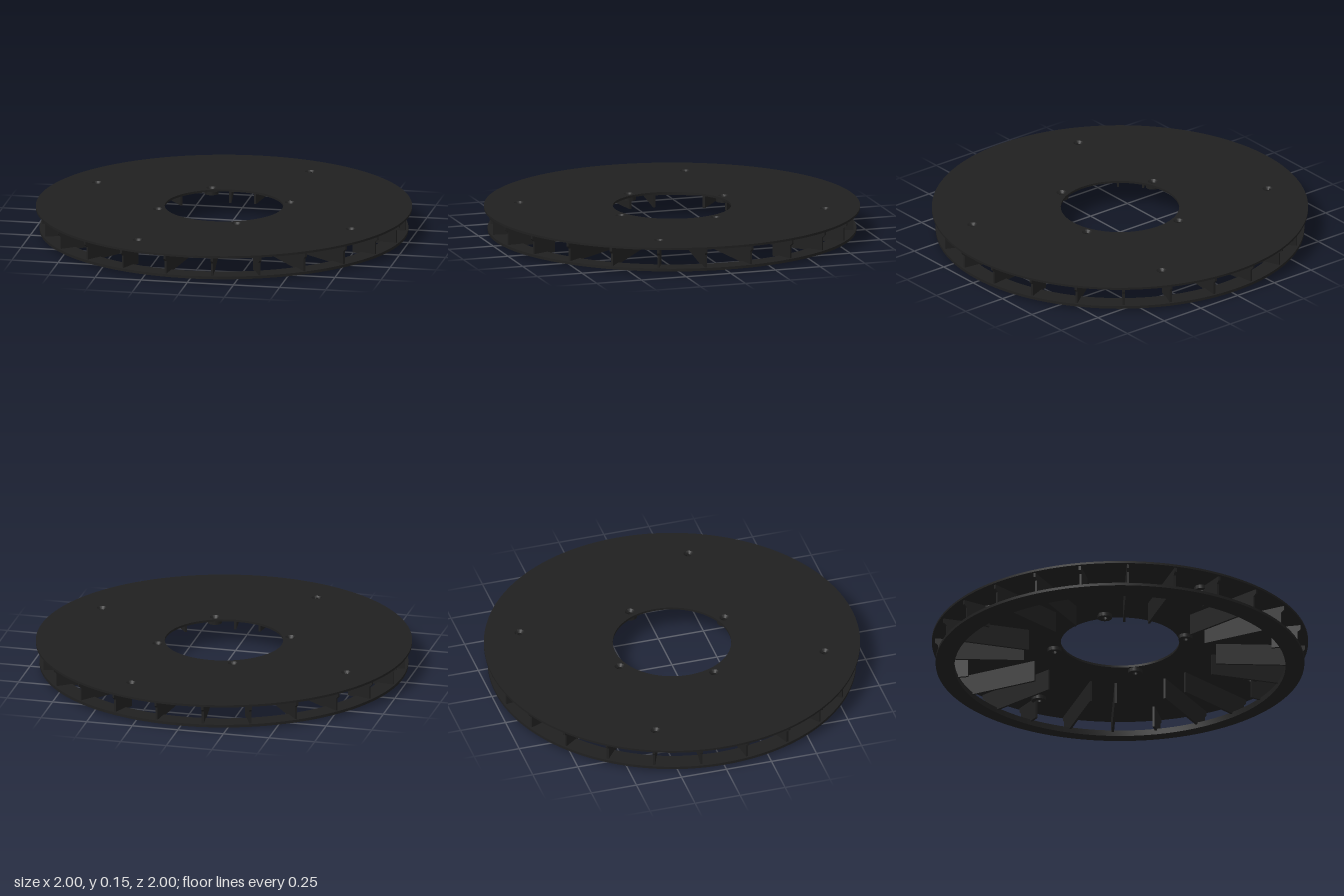
import * as THREE from 'three';
import { toCreasedNormals } from 'three/addons/utils/BufferGeometryUtils.js';

const material = new THREE.MeshStandardMaterial({ color: 0x202020 });
const TOP = 0.15, PLATE = 0.012, FIN_T = 0.012;

function add(group, name, geometry) {
  const mesh = new THREE.Mesh(geometry, material);
  mesh.name = name;
  group.add(mesh);
  return mesh;
}

// Closed counter-clockwise (radius, height) profile turned round the y axis
function turned(points, segments) {
  const profile = [...points, points[0]].map(([r, y]) => new THREE.Vector2(r, y));
  return toCreasedNormals(new THREE.LatheGeometry(profile, segments), 0.4);
}

// Radial blade running from the given inner radius out to the rim
function finGeometry(inner) {
  const outline = [[inner, 0.022], [0.968, 0.022], [0.968, 0.1], [0.985, 0.115], [0.985, 0.142], [inner, 0.142]];
  const shape = new THREE.Shape(outline.map(([r, y]) => new THREE.Vector2(r, y)));
  const geometry = new THREE.ExtrudeGeometry(shape, { depth: FIN_T, bevelEnabled: false });
  return geometry.translate(0, 0, -FIN_T / 2);
}

export function createModel() {
  const model = new THREE.Group();
  model.name = 'finnedDisc';

  // Screw positions: four by the bore and four near the rim
  const screws = [];
  for (let i = 0; i < 4; i++) {
    for (const [radius, degrees] of [[0.357, 22], [0.815, -23]]) {
      const a = THREE.MathUtils.degToRad(degrees + i * 90);
      screws.push([radius * Math.sin(a), radius * Math.cos(a)]);
    }
  }

  // Top plate with bore and screw openings
  const plate = new THREE.Shape().absarc(0, 0, 1, 0, Math.PI * 2);
  plate.holes.push(new THREE.Path().absarc(0, 0, 0.315, 0, Math.PI * 2, true));
  for (const [x, z] of screws) {
    plate.holes.push(new THREE.Path().absarc(x, -z, 0.027, 0, Math.PI * 2, true));
  }
  const plateGeometry = new THREE.ExtrudeGeometry(plate, { depth: PLATE, bevelEnabled: false, curveSegments: 96 });
  plateGeometry.rotateX(-Math.PI / 2).translate(0, TOP - PLATE, 0);
  add(model, 'topPlate', toCreasedNormals(plateGeometry, 0.4));

  // Countersunk screw bosses under the plate
  const boss = turned([[0.014, 0.118], [0.038, 0.118], [0.038, 0.14], [0.027, 0.14], [0.027, TOP], [0.014, 0.136]], 32);
  for (const [x, z] of screws) add(model, 'screwBoss', boss).position.set(x, 0, z);

  // Lower rim ring with sloping underside
  add(model, 'lowerRing', turned([[0.88, 0], [0.9, 0], [0.98, 0.017], [0.98, 0.032], [0.88, 0.032]], 128));

  // Radial fins: one short between each pair of long ones
  const longFin = finGeometry(0.51), shortFin = finGeometry(0.825);
  for (let i = 0; i < 24; i++) {
    const isShort = i % 3 === 1;
    const fin = add(model, isShort ? 'shortFin' : 'longFin', isShort ? shortFin : longFin);
    fin.rotation.y = THREE.MathUtils.degToRad(7.5 + i * 15 - 90);
  }
  return model;
}
